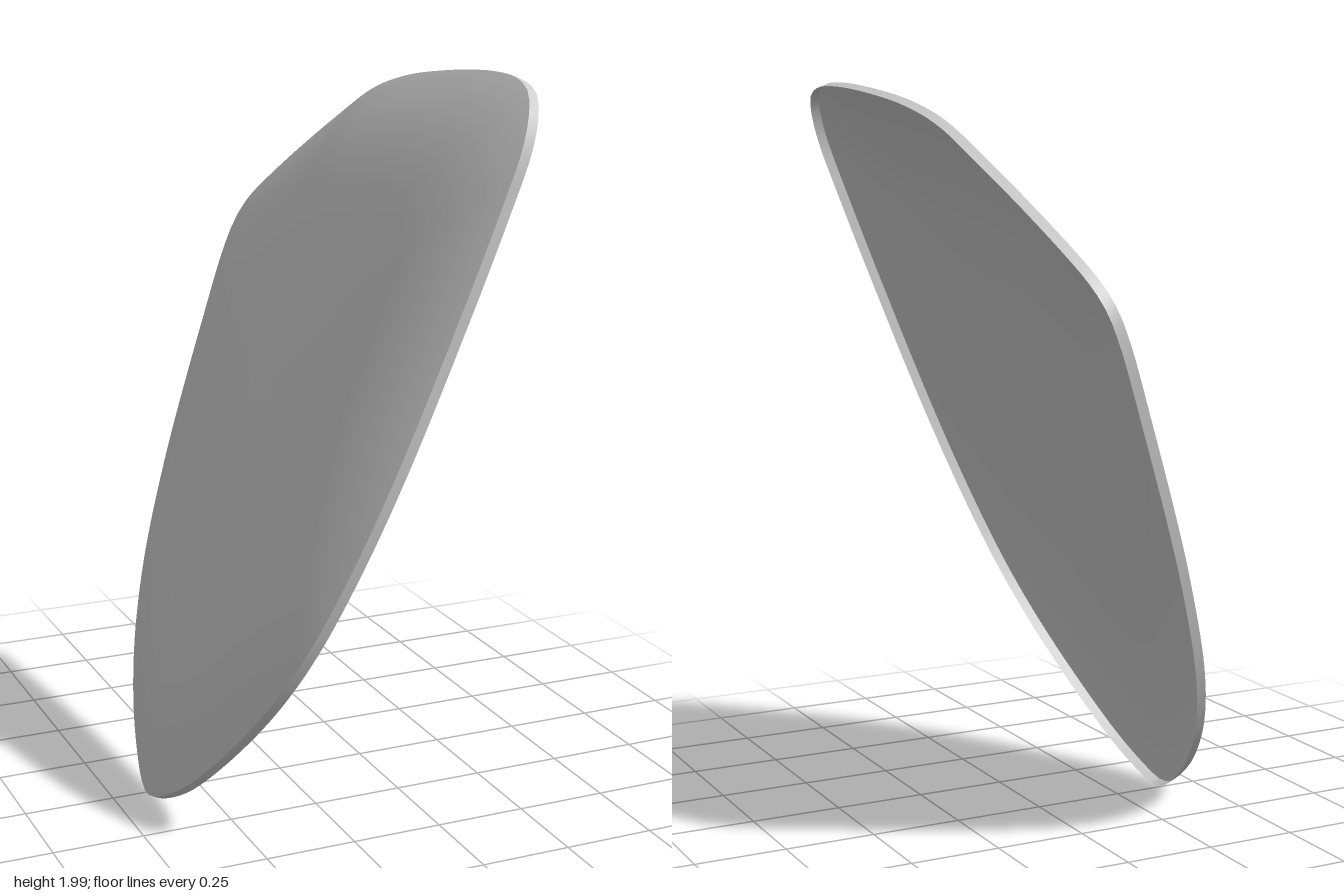
import * as THREE from 'three';

// Rim outline as [z, y]
const OUTLINE = [
  [0.04, 0], [0.12, 0.03], [0.23, 0.1], [0.4, 0.27], [0.52, 0.43], [0.6, 0.59], [0.66, 0.8],
  [0.7, 1.05], [0.722, 1.4], [0.727, 1.68], [0.72, 1.84], [0.69, 1.92], [0.65, 1.965], [0.58, 1.99],
  [0.45, 1.995], [0.2, 1.972], [0, 1.938], [-0.15, 1.89], [-0.3, 1.8], [-0.45, 1.7], [-0.6, 1.59],
  [-0.68, 1.52], [-0.717, 1.46], [-0.724, 1.38], [-0.69, 1.16], [-0.64, 0.9], [-0.6, 0.74],
  [-0.51, 0.49], [-0.4, 0.31], [-0.25, 0.155], [-0.1, 0.05], [-0.02, 0.01],
];
const CENTRE = new THREE.Vector2(0.01, 1.08);
const NORMAL = new THREE.Vector3(-0.929, 0.37, 0); // outward from the tilted rim plane
const BAND = 0.028;
const DOME = 0.1;
const SEGMENTS = 160;

const rim = new THREE.CatmullRomCurve3(
  OUTLINE.map(([z, y]) => new THREE.Vector3(z, y * 0.994, 0)), true, 'centripetal',
).getSpacedPoints(SEGMENTS);

// Rim loop shrunk to scale s and lifted off the tilted plane by height
function loopAt(s, height) {
  return rim.map((p) => {
    const z = CENTRE.x + (p.x - CENTRE.x) * s;
    const y = CENTRE.y + (p.y - CENTRE.y) * s;
    return new THREE.Vector3(-0.385 + 0.398 * y, y, z).addScaledVector(NORMAL, height);
  });
}

// Skin a surface across successive closed loops
function loft(loops, name, material) {
  const index = [];
  const n = SEGMENTS + 1;
  for (let i = 0; i < loops.length - 1; i++) {
    for (let j = 0; j < SEGMENTS; j++) {
      const a = i * n + j, b = a + 1, c = a + n, d = c + 1;
      index.push(a, b, c, b, d, c);
    }
  }
  const geometry = new THREE.BufferGeometry().setFromPoints(loops.flat());
  geometry.setIndex(index);
  geometry.computeVertexNormals();
  const mesh = new THREE.Mesh(geometry, material);
  mesh.name = name;
  return mesh;
}

export function createModel() {
  const group = new THREE.Group();
  group.name = 'curvedShell';
  const material = new THREE.MeshStandardMaterial({ color: 0xcccccc, side: THREE.DoubleSide });

  // Straight band around the open edge
  group.add(loft([loopAt(1, 0), loopAt(1, BAND)], 'rimBand', material));

  // Shallow dome: steep near the rim, almost flat in the middle
  const loops = [];
  const rings = 28;
  for (let i = 0; i <= rings; i++) {
    const s = Math.cos((i / rings) * Math.PI / 2);
    loops.push(loopAt(s, BAND + DOME * (1 - s ** 4)));
  }
  group.add(loft(loops, 'domedPanel', material));
  return group;
}
